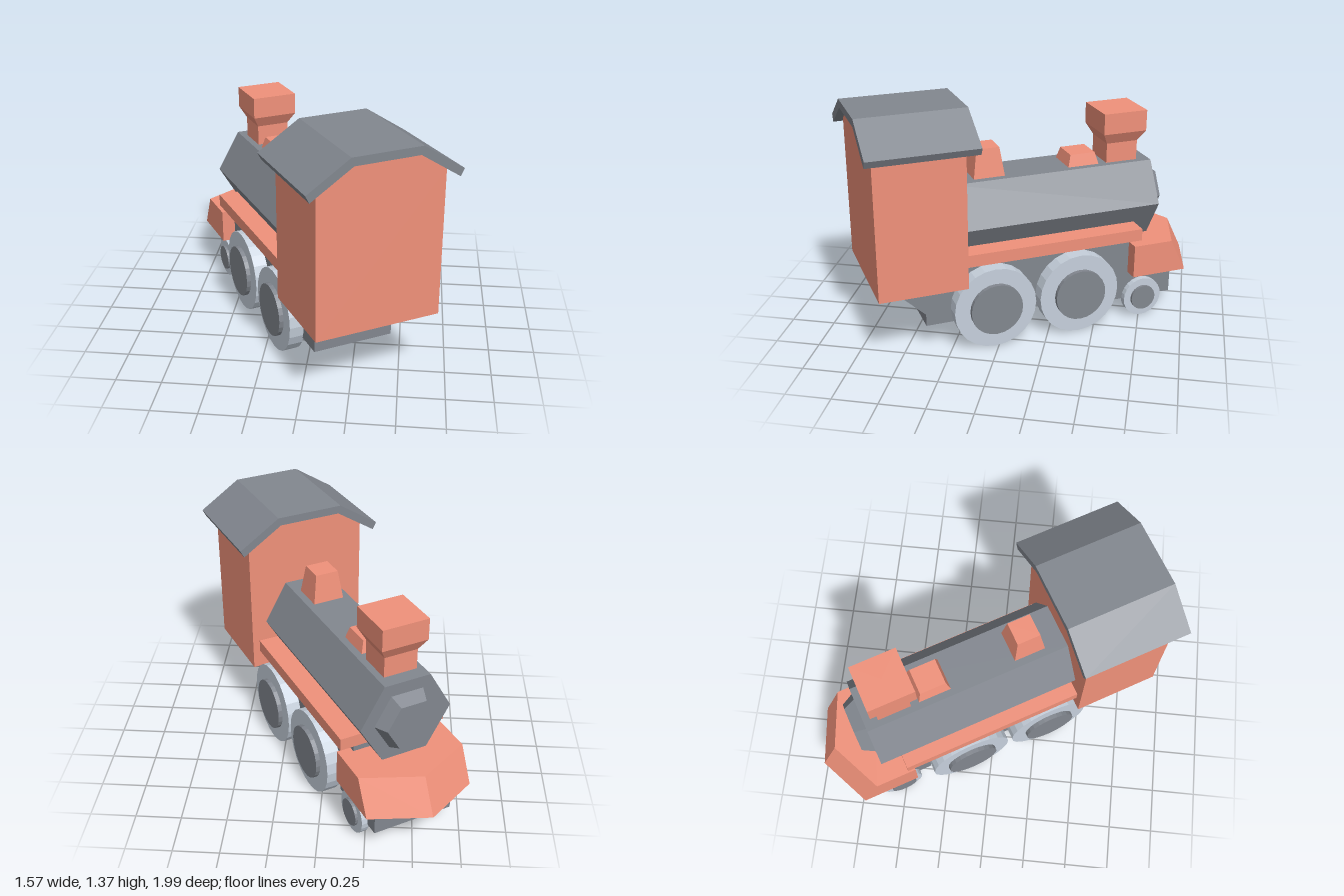
import * as THREE from 'three';

const orange = new THREE.MeshStandardMaterial({ color: 0xf0917a, flatShading: true });
const dark = new THREE.MeshStandardMaterial({ color: 0x82878f, flatShading: true });
const pale = new THREE.MeshStandardMaterial({ color: 0xc6d0dc, flatShading: true });

const UNIT_X = 0.707; // half side of a four-sided cylinder of radius 1

function part(parent, name, geometry, material, x = 0, y = 0, z = 0) {
  const mesh = new THREE.Mesh(geometry, material);
  mesh.name = name;
  mesh.position.set(x, y, z);
  parent.add(mesh);
  return mesh;
}

function extrude(points, depth) {
  const shape = new THREE.Shape(points.map(([x, y]) => new THREE.Vector2(x, y)));
  return new THREE.ExtrudeGeometry(shape, { depth, bevelEnabled: false });
}

// closed outline from its +x half, listed from bottom to top
const mirrored = (half) => [...half, ...half.map(([x, y]) => [-x, y]).reverse()];

// six-sided prism along z with a flat on top
function hexPrism(frontR, backR, z0, z1) {
  const g = new THREE.CylinderGeometry(frontR, backR, z1 - z0, 6, 1, false, Math.PI / 6);
  return g.rotateX(Math.PI / 2).translate(0, 0, (z0 + z1) / 2);
}

// square block with tapered sides, given half widths
function squareTaper(top, bottom, height) {
  return new THREE.CylinderGeometry(top / UNIT_X, bottom / UNIT_X, height, 4, 1, false, Math.PI / 4);
}

// wheel with a raised hub, axis along x, on either side
function addWheel(parent, name, side, z, r, hubR, inner, outer, hubOuter) {
  const wheel = new THREE.Group();
  wheel.name = name;
  const disc = (label, radius, a, b, material) => {
    const g = new THREE.CylinderGeometry(radius, radius, b - a, 24).rotateZ(Math.PI / 2);
    part(wheel, label, g, material, side * (a + b) / 2);
  };
  disc('rim', r, inner, outer, pale);
  disc('hub', hubR, outer - 0.02, hubOuter, dark);
  wheel.position.set(0, r, z);
  parent.add(wheel);
}

export function createModel() {
  const model = new THREE.Group();
  model.name = 'locomotive';

  // the engine is built facing its own +z, then turned on the ground
  const engine = new THREE.Group();
  engine.name = 'engine';
  engine.rotation.y = Math.PI * 7 / 6;
  engine.position.set(-0.026, 0, 0.015);
  model.add(engine);

  // chassis: side profile (z, y) extruded across the width
  const chassis = extrude([
    [-0.557, 0.155], [0.56, 0.155], [0.56, 0.11], [0.945, 0.11], [0.945, 0.4],
    [0.70, 0.4], [0.70, 0.51], [-0.687, 0.51], [-0.687, 0.35], [-0.557, 0.225],
  ], 0.458);
  chassis.translate(0, 0, -0.229).rotateY(-Math.PI / 2);
  part(engine, 'chassis', chassis, dark);

  // running board
  part(engine, 'runningBoard', new THREE.BoxGeometry(0.614, 0.07, 1.06), orange, 0, 0.545, 0.176);

  // boiler and nose
  part(engine, 'boiler', hexPrism(0.26, 0.26, -0.36, 0.827), dark, 0, 0.7);
  part(engine, 'boilerNose', hexPrism(0.143, 0.185, 0.82, 0.895), dark, 0, 0.7);

  // pilot: pointed plan, pushed forward along its lower edge
  const pilot = extrude([
    [-0.307, -0.665], [-0.307, -0.9], [0, -1.037], [0.307, -0.9], [0.307, -0.665],
  ], 0.195).rotateX(-Math.PI / 2);
  const p = pilot.attributes.position;
  for (let i = 0; i < p.count; i++) {
    if (p.getY(i) < 0.1 && p.getZ(i) > 0.8) p.setZ(i, p.getZ(i) + 0.096);
  }
  pilot.computeVertexNormals();
  part(engine, 'pilot', pilot, orange, 0, 0.28);

  // chimney: square flared stack
  const stack = [[0, 0.9], [0.094, 0.9], [0.094, 1.04], [0.13, 1.105], [0.13, 1.225], [0, 1.225]]
    .map(([h, y]) => new THREE.Vector2(h / UNIT_X, y));
  const chimney = new THREE.LatheGeometry(stack, 4, Math.PI / 4);
  part(engine, 'chimney', chimney, orange, 0, 0, 0.658);

  // domes on top of the boiler
  part(engine, 'frontDome', squareTaper(0.074, 0.093, 0.07), orange, 0, 0.957, 0.424);
  part(engine, 'rearDome', squareTaper(0.066, 0.09, 0.165), orange, 0, 1.005, -0.136);

  // cab with sloped shoulders under the roof
  const cab = extrude(mirrored([[0.348, 0.405], [0.348, 1.215], [0.178, 1.327]]), 0.493);
  part(engine, 'cab', cab, orange, 0, 0, -0.838);

  // roof: bent slab of even thickness
  const roof = extrude([
    [0.4, 1.18], [0.42, 1.22], [0.19, 1.37], [-0.19, 1.37], [-0.42, 1.22],
    [-0.4, 1.18], [-0.176, 1.325], [0.176, 1.325],
  ], 0.602);
  part(engine, 'roof', roof, dark, 0, 0, -0.884);

  // wheels on both sides
  for (const side of [1, -1]) {
    addWheel(engine, 'rearDrivingWheel', side, -0.178, 0.238, 0.15, 0.225, 0.31, 0.335);
    addWheel(engine, 'frontDrivingWheel', side, 0.324, 0.238, 0.15, 0.225, 0.31, 0.335);
    addWheel(engine, 'leadingWheel', side, 0.752, 0.118, 0.075, 0.22, 0.262, 0.278);
  }

  return model;
}
